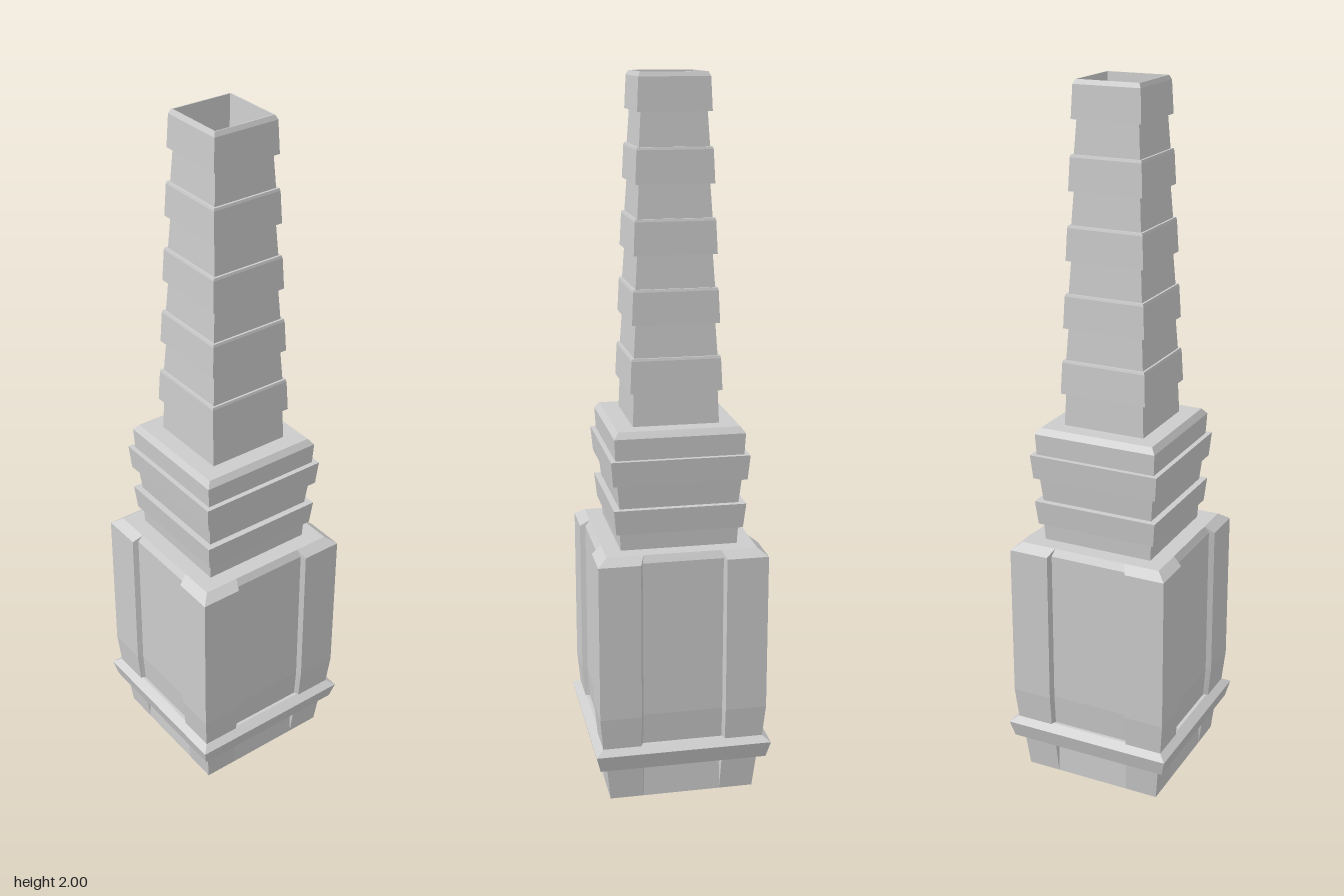
import * as THREE from 'three';

const material = new THREE.MeshStandardMaterial({ color: 0xcccccc, flatShading: true });

// Square outline of half width h; w and d give a slant-sided recess in the middle of each side.
function outline({ h, y, w = 0, d = 0, s = 0 }, recessed) {
  const side = recessed
    ? [[-h, h], [-w, h], [-w + s, h - d], [w - s, h - d], [w, h]]
    : [[-h, h]];
  const points = [];
  for (let k = 0; k < 4; k++) {
    for (const [px, pz] of side) {
      let x = px, z = pz;
      for (let r = 0; r < k; r++) [x, z] = [z, -x];
      points.push(new THREE.Vector3(x, y, z));
    }
  }
  return points;
}

// Skin the rings in order, then close both ends.
function loft(name, rings, recessed = false) {
  const loops = rings.map((ring) => outline(ring, recessed));
  const n = loops[0].length;
  const positions = [];
  const tri = (...corners) => corners.forEach((p) => positions.push(p.x, p.y, p.z));
  const bottom = new THREE.Vector3(0, rings[0].y, 0);
  const top = new THREE.Vector3(0, rings[rings.length - 1].y, 0);
  for (let i = 0; i < n; i++) {
    const j = (i + 1) % n;
    for (let k = 0; k < loops.length - 1; k++) {
      const low = loops[k], up = loops[k + 1];
      tri(low[i], low[j], up[j]);
      tri(low[i], up[j], up[i]);
    }
    const last = loops[loops.length - 1];
    tri(bottom, loops[0][j], loops[0][i]);
    tri(top, last[i], last[j]);
  }
  const geometry = new THREE.BufferGeometry();
  geometry.setAttribute('position', new THREE.Float32BufferAttribute(positions, 3));
  geometry.computeVertexNormals();
  const mesh = new THREE.Mesh(geometry, material);
  mesh.name = name;
  return mesh;
}

const rings = (profile) => profile.map(([h, y]) => ({ h, y }));

export function createModel() {
  const model = new THREE.Group();
  model.name = 'tower';

  // Foot, with recesses that run out at the ground
  model.add(loft('foot', [
    { h: 0.206, y: 0, w: 0.11 },
    { h: 0.217, y: 0.105, w: 0.115, d: 0.015, s: 0.006 },
  ], true));

  // Projecting ledge
  model.add(loft('ledge', rings([[0.238, 0.105], [0.25, 0.153], [0.225, 0.17]])));

  // Main block with a recessed panel on every side
  model.add(loft('mainBlock', [
    { h: 0.228, y: 0.16, w: 0.12, d: 0.013, s: 0.007 },
    { h: 0.237, y: 0.26, w: 0.12, d: 0.015, s: 0.007 },
    { h: 0.237, y: 0.71, w: 0.12, d: 0.015, s: 0.007 },
    { h: 0.21, y: 0.73, w: 0.108 },
  ], true));

  // Stepped middle section
  model.add(loft('middleSection', rings([
    [0.163, 0.725], [0.166, 0.78], [0.177, 0.78], [0.184, 0.85],
    [0.166, 0.85], [0.173, 0.92], [0.186, 0.92], [0.192, 0.99],
    [0.178, 0.99], [0.181, 1.05], [0.168, 1.067],
  ])));

  // Spire: each collar is narrower than the one below it
  const spire = [[0.12, 1.06]];
  for (let i = 0; i < 5; i++) {
    const y = 1.16 + i * 0.185;
    const h = 0.127 - i * 0.0068;
    spire.push([h - 0.011, y], [h, y], [h - 0.004, y + 0.088]);
    if (i < 4) spire.push([h - 0.006, y + 0.095], [h - 0.012, y + 0.095]);
  }
  // Rim and the open shaft inside it
  spire.push([0.09, 2], [0.087, 2], [0.078, 1.88]);
  model.add(loft('spire', rings(spire)));

  return model;
}
